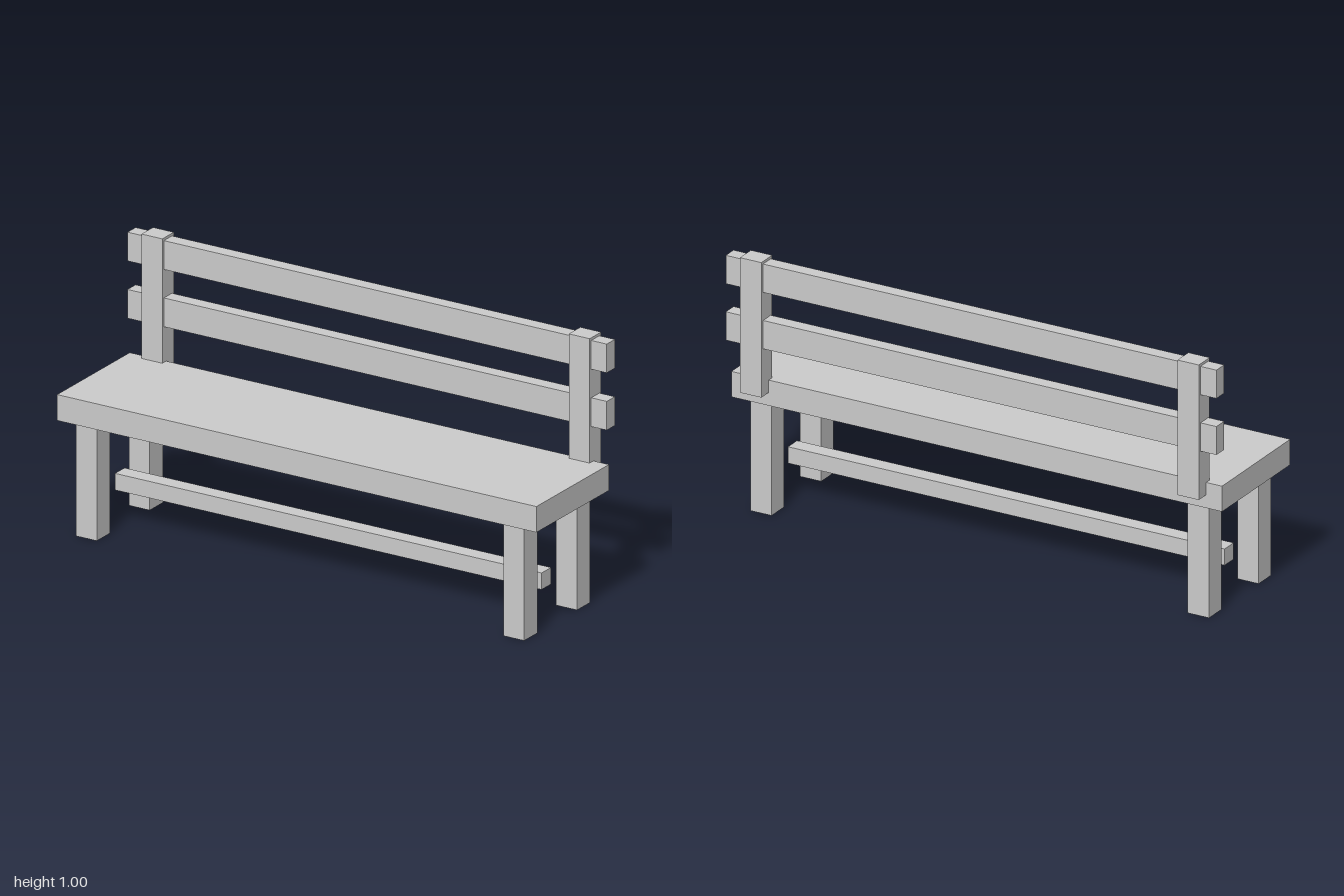
import * as THREE from 'three';

const material = new THREE.MeshStandardMaterial({ color: 0xcccccc, flatShading: true });

// Box given by its [min, max] extent on each axis
function beam(name, [x0, x1], [y0, y1], [z0, z1]) {
  const mesh = new THREE.Mesh(new THREE.BoxGeometry(x1 - x0, y1 - y0, z1 - z0), material);
  mesh.name = name;
  mesh.position.set((x0 + x1) / 2, (y0 + y1) / 2, (z0 + z1) / 2);
  return mesh;
}

export function createModel() {
  const bench = new THREE.Group();
  bench.name = 'bench';

  // Seat plank and low stretcher between the legs
  bench.add(beam('seat', [-1, 1], [0.431, 0.529], [-0.213, 0.264]));
  bench.add(beam('stretcher', [-0.89, 0.89], [0.122, 0.185], [-0.006, 0.057]));

  // Horizontal back slats
  bench.add(beam('lowerBackSlat', [-1, 1], [0.664, 0.773], [-0.252, -0.198]));
  bench.add(beam('upperBackSlat', [-1, 1], [0.881, 0.99], [-0.252, -0.198]));

  // Legs and back posts, mirrored left and right
  for (const [side, x] of [['left', [0.848, 0.935]], ['right', [-0.935, -0.848]]]) {
    bench.add(beam(side + 'FrontLeg', x, [0, 0.431], [0.155, 0.242]));
    bench.add(beam(side + 'BackLeg', x, [0, 0.431], [-0.192, -0.105]));
    bench.add(beam(side + 'BackPost', x, [0.481, 1], [-0.264, -0.188]));
  }
  return bench;
}
